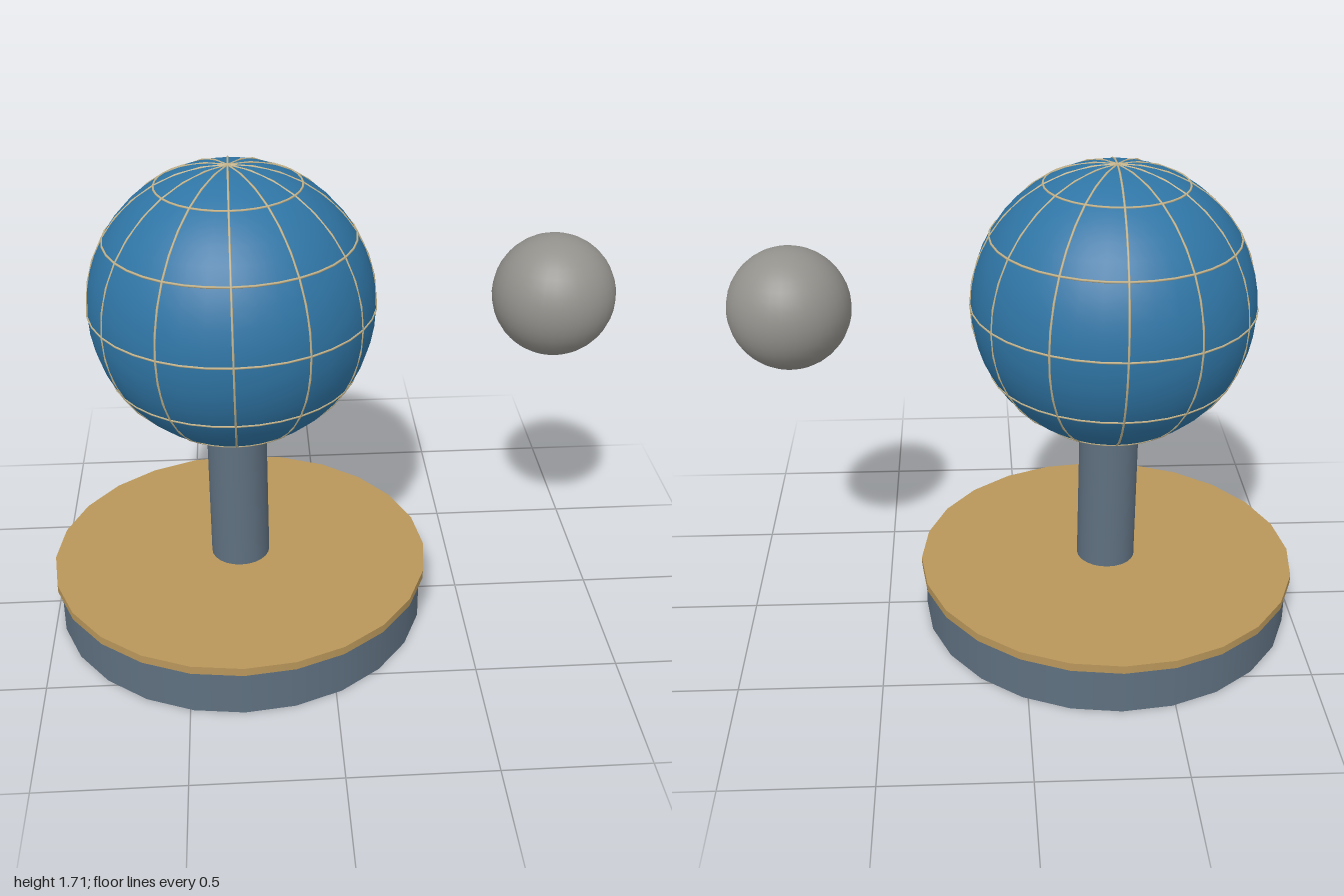
import * as THREE from 'three';

const mat = (name, color) => {
  const m = new THREE.MeshStandardMaterial({ color });
  m.name = name;
  return m;
};

export function createModel() {
  const slate = mat('slate', 0x5f7080);
  const brass = mat('brass', 0xb8965a);
  const ocean = mat('oceanBlue', 0x2f75a5);
  const cream = mat('paleGold', 0xc4b48c);
  const stone = mat('moonGrey', 0x93918c);

  const model = new THREE.Group();
  model.name = 'globeStand';
  const axisX = -0.315, centreY = 1.217, R = 0.488;

  const add = (name, geometry, material, x, y, parent = model) => {
    const mesh = new THREE.Mesh(geometry, material);
    mesh.name = name;
    mesh.position.set(x, y, 0);
    parent.add(mesh);
    return mesh;
  };
  const disc = (name, r, y0, y1, material) =>
    add(name, new THREE.CylinderGeometry(r, r, y1 - y0, 24), material, axisX, (y0 + y1) / 2);

  // Round plinth, its overhanging top plate, and the post
  disc('base', 0.67, 0, 0.17, slate);
  disc('basePlate', 0.685, 0.17, 0.2, brass);
  disc('post', 0.106, 0.21, 0.75, slate);

  // Globe with its grid of thin rings
  const globe = new THREE.Group();
  globe.name = 'globe';
  globe.position.set(axisX, centreY, 0);
  model.add(globe);
  add('sphere', new THREE.SphereGeometry(R, 36, 24), ocean, 0, 0, globe);

  const ring = (name, r, y) =>
    add(name, new THREE.TorusGeometry(r, 0.004, 6, 36), cream, 0, y, globe);

  // Parallels every 30 degrees
  for (let lat = -60; lat <= 60; lat += 30) {
    const a = THREE.MathUtils.degToRad(lat);
    ring('parallel', R * Math.cos(a), R * Math.sin(a)).rotation.x = Math.PI / 2;
  }
  // Meridians: six full rings through the poles
  for (let i = 0; i < 6; i++) ring('meridian', R, 0).rotation.y = (i * Math.PI) / 6;

  // Small moon floating beside the globe
  add('moon', new THREE.SphereGeometry(0.211, 32, 20), stone, 0.787, centreY);

  return model;
}
